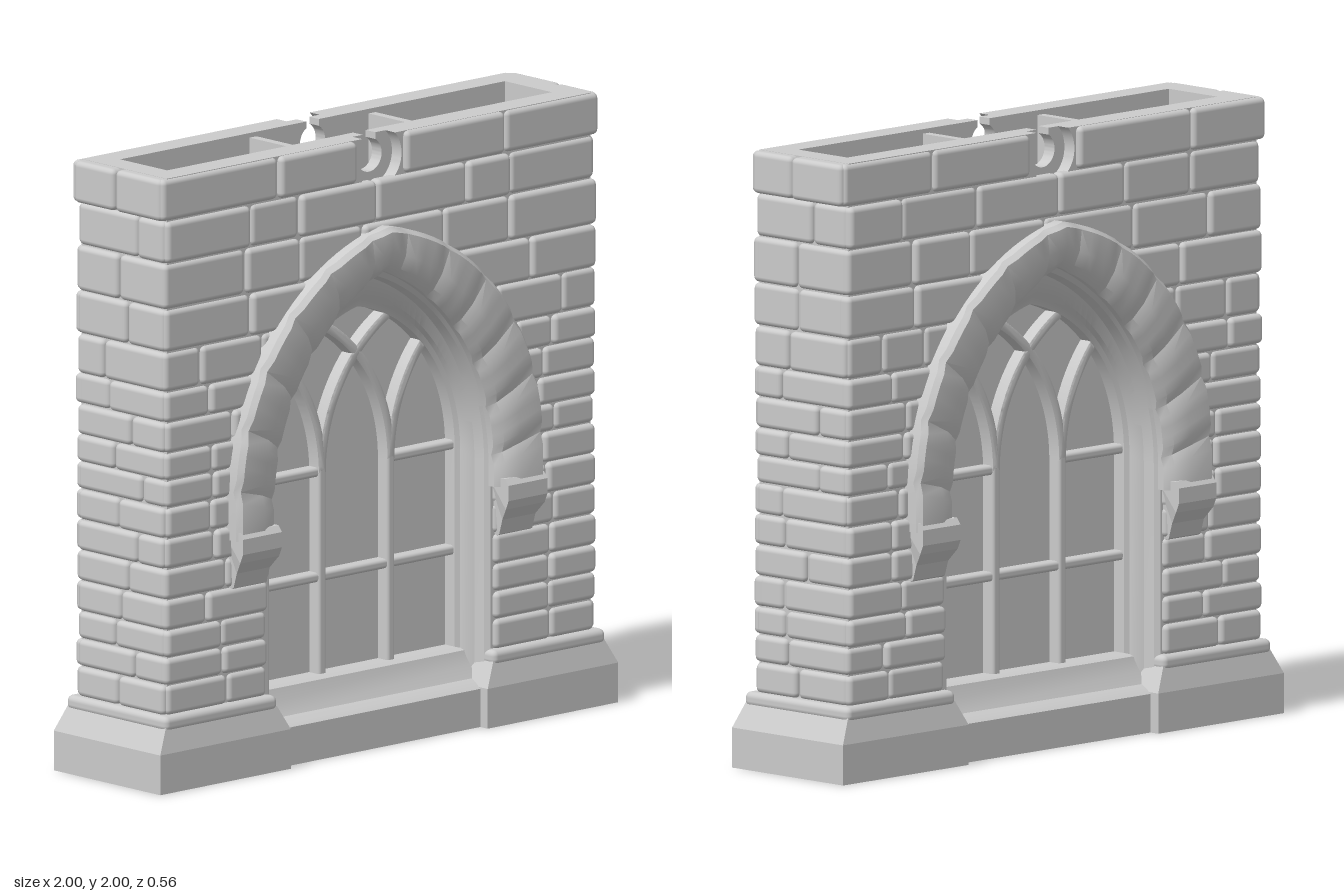
import * as THREE from 'three';
import { toCreasedNormals } from 'three/addons/utils/BufferGeometryUtils.js';
import { RoundedBoxGeometry } from 'three/addons/geometries/RoundedBoxGeometry.js';

const stone = new THREE.MeshStandardMaterial({ color: 0xcccccc });
const shell = new THREE.MeshStandardMaterial({ color: 0xcccccc, side: THREE.DoubleSide });

let seed = 7;
const rnd = () => (seed = (seed * 16807) % 2147483647) / 2147483647;

function add(parent, name, geo, mat = stone) {
  const m = new THREE.Mesh(geo, mat);
  m.name = name;
  parent.add(m);
  return m;
}

function box(parent, name, x0, x1, y0, y1, z0, z1, r = 0) {
  const s = [x1 - x0, y1 - y0, z1 - z0];
  const geo = r ? new RoundedBoxGeometry(...s, 2, r) : new THREE.BoxGeometry(...s);
  const m = add(parent, name, geo);
  m.position.set((x0 + x1) / 2, (y0 + y1) / 2, (z0 + z1) / 2);
  return m;
}

// Extrude a shape from z0 to z1, with an optional bevel kept inside that range
function slab(shape, z0, z1, bevel = 0) {
  const g = new THREE.ExtrudeGeometry(shape, {
    depth: z1 - z0 - 2 * bevel, bevelEnabled: bevel > 0, bevelThickness: bevel,
    bevelSize: bevel, bevelOffset: -bevel, bevelSegments: 2, curveSegments: 24,
  });
  g.translate(0, 0, z0 + bevel);
  return toCreasedNormals(g, 0.6);
}

// Extrude a (z, y) profile along x
function alongX(profile, x0, x1) {
  const s = new THREE.Shape(profile.map(([z, y]) => new THREE.Vector2(-z, y)));
  return slab(s, x0, x1).rotateY(Math.PI / 2);
}

// Pointed arch outline, right foot over the apex to left foot
const N = 28;
function arch(w, spring, apex, foot) {
  const h = apex - spring, R = (w * w + h * h) / (2 * w), end = Math.atan2(h, R - w);
  const half = [new THREE.Vector2(w, foot)];
  for (let i = 0; i <= N; i++) {
    const a = end * i / N;
    half.push(new THREE.Vector2(w - R + R * Math.cos(a), spring + R * Math.sin(a)));
  }
  return [...half, ...half.slice(0, -1).reverse().map(p => new THREE.Vector2(-p.x, p.y))];
}

// Half width of the opening at height y
function openingX(y) {
  if (y <= 0.85) return 0.48;
  if (y >= 1.56) return 0;
  const h = 0.71, R = (0.48 ** 2 + h * h) / 0.96;
  return 0.48 - R + Math.sqrt(R * R - (y - 0.85) ** 2);
}

// Moulding lofted through arches [w, spring, apex, z]; joint sinks the stone joints
function archLoft(sections, foot, joint = 0) {
  const pos = [], idx = [], n = 2 * N + 3;
  for (const [w, s, a, z] of sections)
    arch(w, s, a, foot).forEach((p, i) =>
      pos.push(p.x, p.y, z - (z > 0.22 && Math.abs(i - N - 1) % 5 === 2 ? joint : 0)));
  for (let j = 0; j < sections.length - 1; j++)
    for (let i = 0; i < n - 1; i++) {
      const a = j * n + i, b = a + n;
      idx.push(a, a + 1, b, b, a + 1, b + 1);
    }
  const g = new THREE.BufferGeometry();
  g.setAttribute('position', new THREE.Float32BufferAttribute(pos, 3));
  g.setIndex(idx);
  return toCreasedNormals(g, 0.6);
}

// Flat curved bar: part of a ring
function arcBar(cx, cy, R, a0, a1, w) {
  const s = new THREE.Shape();
  s.absarc(cx, cy, R + w / 2, a0, a1, a1 < a0);
  s.absarc(cx, cy, R - w / 2, a1, a0, a1 > a0);
  return s;
}

// Upper wall outline with a round notch open at the top
function notchedWall(r) {
  const s = new THREE.Shape(), a = Math.min(Math.asin(Math.min(1, 0.07 / r)), Math.PI / 3);
  s.moveTo(-0.925, 1.75).lineTo(0.925, 1.75).lineTo(0.925, 2).lineTo(r * Math.cos(a), 2);
  s.absarc(0, 1.93, r, a, Math.PI - a, true);
  s.lineTo(-r * Math.cos(a), 2).lineTo(-0.925, 2);
  return s;
}

// One course of stones between a and b, on the +z face
function course(parent, a, b, y0, y1, size) {
  const n = Math.max(1, Math.round((b - a) / size));
  const cuts = [a];
  for (let i = 1; i < n; i++) cuts.push(a + (b - a) * (i + (rnd() - 0.5) * 0.5) / n);
  cuts.push(b);
  for (let i = 0; i < n; i++) {
    const z = 0.216 + (rnd() - 0.5) * 0.012;
    box(parent, 'wallStone', cuts[i] + 0.002, cuts[i + 1] - 0.002, y0 + 0.002, y1 - 0.001, z - 0.05, z, 0.018);
  }
}

const ROWS = [0.24, 0.34, 0.43, 0.52, 0.62, 0.72, 0.82, 0.92, 1.01, 1.1, 1.2, 1.3, 1.43, 1.57, 1.72, 1.86, 2];

function createFace() {
  const face = new THREE.Group();
  // Stone courses, stopping at the opening and at the notch
  for (let i = 0; i < ROWS.length - 1; i++) {
    const [y0, y1] = [ROWS[i], ROWS[i + 1]], w = y0 > 1.8 ? 0.955 : 0.935 + rnd() * 0.01;
    const inner = y0 > 1.8 ? 0.105 : y0 >= 1.56 ? 0 : openingX(y0) + 0.015;
    const size = y0 > 1.4 ? 0.34 : 0.2;
    if (inner === 0) course(face, -w, w, y0, y1, size);
    else {
      course(face, -w, -inner, y0, y1, size);
      course(face, inner, w, y0, y1, size);
    }
  }
  // Upper wall in two layers: wide recess outside, small hole inside
  add(face, 'upperWallInner', slab(notchedWall(0.055), 0.11, 0.155));
  add(face, 'upperWallOuter', slab(notchedWall(0.1), 0.155, 0.2));
  // Hood moulding over the arch
  add(face, 'hoodMould', archLoft([
    [0.67, 0.9, 1.71, 0.19], [0.67, 0.9, 1.71, 0.25], [0.655, 0.9, 1.695, 0.268],
    [0.56, 0.88, 1.63, 0.268], [0.505, 0.86, 1.585, 0.25], [0.48, 0.85, 1.56, 0.225], [0.48, 0.85, 1.56, 0.17],
  ], 0.78, 0.012), shell);
  // Stepped reveal from the wall face back to the panes
  add(face, 'windowReveal', archLoft([
    [0.485, 0.85, 1.565, 0.205], [0.47, 0.86, 1.54, 0.19], [0.465, 0.86, 1.53, 0.15],
    [0.445, 0.88, 1.47, 0.13], [0.44, 0.89, 1.45, 0.11], [0.425, 0.9, 1.425, 0.1], [0.425, 0.9, 1.425, 0.04],
  ], 0.15), shell);
  // Corbels under the hood moulding
  const corbel = [[0.18, 0.6], [0.22, 0.62], [0.235, 0.67], [0.265, 0.71], [0.278, 0.74], [0.278, 0.79], [0.262, 0.81], [0.18, 0.81]];
  for (const s of [-1, 1]) {
    const c = add(face, 'corbel', alongX(corbel, -0.085, 0.085));
    c.position.x = s * 0.58;
    // Narrow the foot of the corbel
    const p = c.geometry.attributes.position;
    for (let i = 0; i < p.count; i++) if (p.getY(i) < 0.7) p.setX(i, p.getX(i) * 0.85);
    c.geometry.computeVertexNormals();
  }
  return face;
}

function createWindow() {
  const win = new THREE.Group();
  win.name = 'window';
  add(win, 'panes', slab(new THREE.Shape(arch(0.46, 0.89, 1.47, 0.15)), -0.055, 0.055));
  // Straight bars
  for (const x of [-0.15, 0.15]) box(win, 'mullion', x - 0.018, x + 0.018, 0.2, 0.92, -0.1, 0.1, 0.012);
  for (const y of [0.56, 0.905]) {
    for (const s of [-1, 1]) box(win, 'transom', s * 0.29 - 0.15, s * 0.29 + 0.15, y - 0.016, y + 0.016, -0.095, 0.095, 0.012);
  }
  box(win, 'transom', -0.15, 0.15, 0.544, 0.576, -0.095, 0.095, 0.012);
  // Intersecting tracery arcs springing from the mullions
  const R = 0.542;
  for (const s of [-1, 1]) {
    for (const [cx, ex] of [[0.392, 0.14], [-0.692, -0.29]]) {
      const a0 = cx > 0 ? Math.PI : 0, a1 = Math.acos((ex - cx) / R);
      const bar = add(win, 'tracery', slab(arcBar(cx, 0.9, R, a0, a1, 0.036), -0.1, 0.1, 0.01));
      if (s > 0) bar.rotation.y = Math.PI;
    }
  }
  return win;
}

function createPlinth() {
  const g = new THREE.Group();
  g.name = 'plinth';
  // Foot with a square socket underneath
  const foot = new THREE.Shape([[0.43, -0.25], [1, -0.25], [1, 0.25], [0.43, 0.25]].map(p => new THREE.Vector2(...p)));
  foot.holes.push(new THREE.Path([[0.62, -0.1], [0.62, 0.1], [0.82, 0.1], [0.82, -0.1]].map(p => new THREE.Vector2(...p))));
  add(g, 'plinthFoot', slab(foot, 0, 0.13).rotateX(-Math.PI / 2));
  // Sloping shoulder
  const shoulder = new THREE.BoxGeometry(0.57, 0.08, 0.5);
  const p = shoulder.attributes.position;
  for (let i = 0; i < p.count; i++) if (p.getY(i) > 0) p.setXYZ(i, p.getX(i) * 0.85, p.getY(i), p.getZ(i) * 0.92);
  shoulder.computeVertexNormals();
  add(g, 'plinthShoulder', shoulder).position.set(0.715, 0.17, 0);
  box(g, 'plinthMoulding', 0.47, 0.963, 0.195, 0.245, -0.236, 0.236, 0.02);
  return g;
}

export function createModel() {
  const model = new THREE.Group();
  model.name = 'gothicWindowWall';
  // Solid core with the arched opening cut through
  const v = (x, y) => new THREE.Vector2(x, y);
  const core = new THREE.Shape([v(0.925, 0.13), v(0.925, 1.75), v(-0.925, 1.75), v(-0.925, 0.13),
    ...arch(0.48, 0.85, 1.56, 0.13).reverse()]);
  add(model, 'wallCore', slab(core, -0.2, 0.2));
  // Ends and dividers of the open top
  for (const s of [-1, 1]) {
    box(model, 'topEndWall', s * 0.8825 - 0.0425, s * 0.8825 + 0.0425, 1.75, 2, -0.2, 0.2);
    box(model, 'topDivider', s * 0.26 - 0.015, s * 0.26 + 0.015, 1.75, 1.985, -0.11, 0.11);
  }
  // Front and back faces
  for (const [name, turn] of [['frontFace', 0], ['backFace', Math.PI]]) {
    const f = createFace();
    f.name = name;
    f.rotation.y = turn;
    model.add(f);
  }
  // Stones on the two ends
  for (const s of [-1, 1]) {
    const end = new THREE.Group();
    end.name = s > 0 ? 'leftEnd' : 'rightEnd';
    for (let i = 0; i < ROWS.length - 1; i++) {
      const c = (rnd() - 0.5) * 0.2, out = ROWS[i] > 1.8 ? 0.957 : 0.937;
      for (const [a, b] of [[-0.205, c], [c, 0.205]]) {
        const x = out + rnd() * 0.01;
        box(end, 'endStone', s * x - (s > 0 ? 0.06 : 0), s * x + (s > 0 ? 0 : 0.06),
          ROWS[i] + 0.002, ROWS[i + 1] - 0.001, a + 0.002, b - 0.002, 0.018);
      }
    }
    model.add(end);
    const plinth = createPlinth();
    plinth.rotation.y = s > 0 ? 0 : Math.PI;
    model.add(plinth);
  }
  // Sill sloping up to the panes on both sides
  const sill = [[0.215, 0], [0.215, 0.125], [0.2, 0.135], [0.165, 0.15], [0.14, 0.19], [0.125, 0.235], [0.1, 0.245]];
  add(model, 'sill', alongX([...sill, ...sill.map(([z, y]) => [-z, y]).reverse()], -0.475, 0.475));
  model.add(createWindow());
  return model;
}
